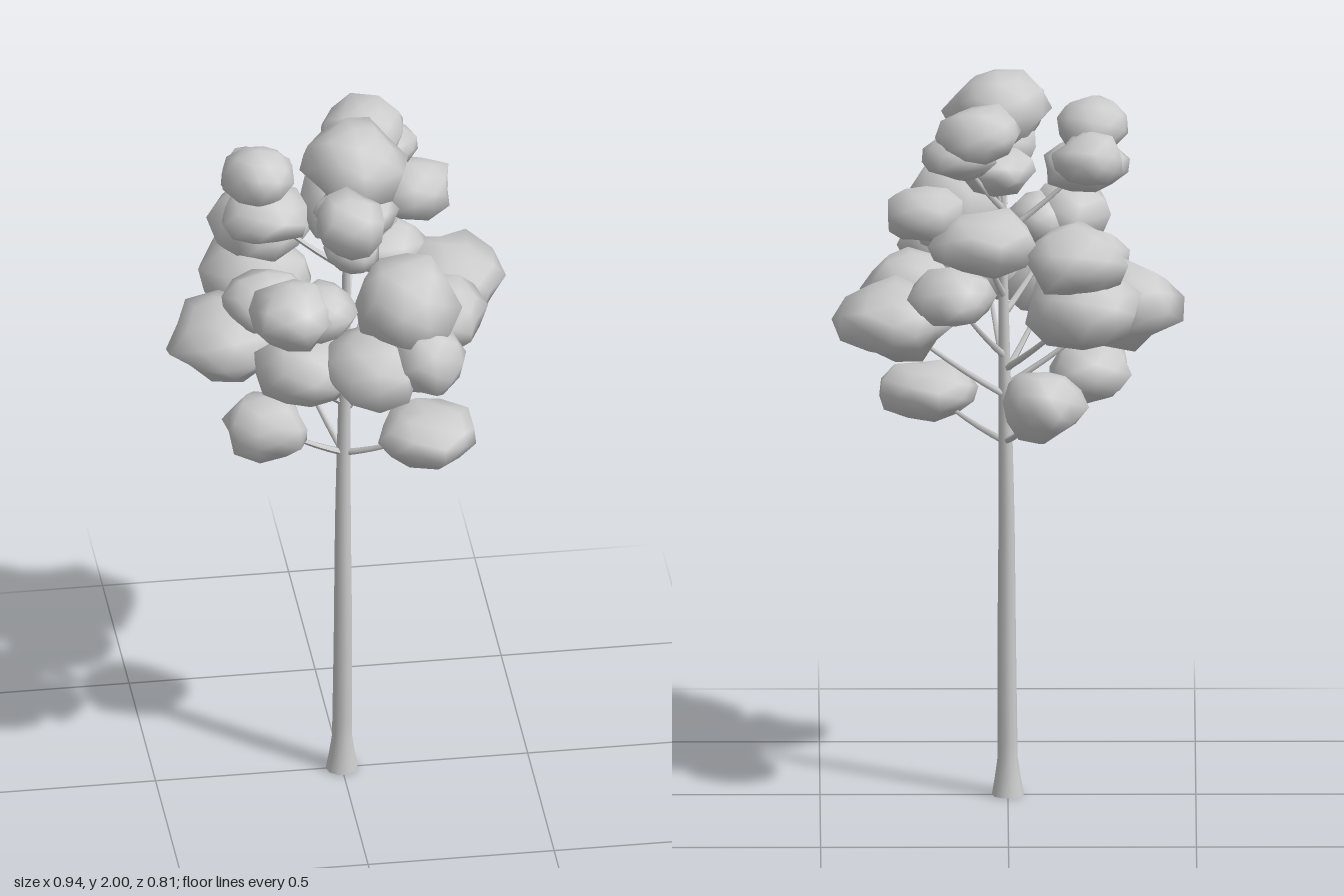
import * as THREE from 'three';
import { mergeVertices } from 'three/addons/utils/BufferGeometryUtils.js';

const material = new THREE.MeshStandardMaterial({ color: 0xcccccc });

// Small seeded generator for the irregular leaf clumps
function seeded(seed) {
  let s = seed * 7919 + 17;
  return () => {
    s = (s * 16807) % 2147483647;
    return s / 2147483647;
  };
}

// Leaf clumps; each is a list of overlapping lobes [x, y, z, radius, half height]
const CLUMPS = [
  // lowest tier
  [[-0.22, 1.145, 0.09, 0.11, 0.085]],
  [[0.21, 1.09, 0.11, 0.132, 0.07]],
  [[-0.1, 1.15, -0.275, 0.115, 0.1]],
  // broad middle tier
  [[-0.305, 1.37, 0.0, 0.165, 0.12], [-0.21, 1.48, 0.01, 0.115, 0.09]],
  [[0.3, 1.37, -0.2, 0.17, 0.11], [0.255, 1.4, 0.02, 0.14, 0.1]],
  [
    [0.06, 1.4, 0.26, 0.14, 0.1],
    [0.19, 1.44, 0.295, 0.105, 0.1],
    [0.15, 1.56, 0.22, 0.14, 0.13],
  ],
  [[-0.12, 1.37, 0.2, 0.135, 0.09]],
  [[-0.2, 1.42, -0.24, 0.155, 0.12], [-0.18, 1.56, -0.27, 0.14, 0.1]],
  [[0.15, 1.46, -0.28, 0.12, 0.08]],
  // upper middle tier
  [[-0.16, 1.55, 0.21, 0.115, 0.1], [-0.08, 1.54, 0.18, 0.1, 0.08]],
  [[0.07, 1.6, -0.245, 0.145, 0.085], [0.22, 1.67, -0.2, 0.1, 0.075]],
  // crown
  [[0.0, 1.74, 0.2, 0.075, 0.06], [-0.01, 1.83, 0.23, 0.09, 0.085]],
  [
    [-0.21, 1.75, 0.0, 0.115, 0.075],
    [-0.225, 1.86, -0.01, 0.095, 0.08],
    [-0.21, 1.8, -0.12, 0.095, 0.07],
  ],
  [[0.04, 1.735, 0.0, 0.115, 0.06]],
  [[0.13, 1.82, -0.17, 0.1, 0.065]],
  [[0.03, 1.89, 0.02, 0.148, 0.11], [0.08, 1.88, -0.17, 0.115, 0.07]],
];

// A coarse, smooth-shaded lump fitted to the given radius and half height
function lobeGeometry(radius, height, seed) {
  const rand = seeded(seed);
  let geo = new THREE.IcosahedronGeometry(1, 1);
  geo.deleteAttribute('normal');
  geo.deleteAttribute('uv');
  geo = mergeVertices(geo, 1e-3);
  geo.rotateY(rand() * Math.PI);
  const p = geo.attributes.position;
  for (let i = 0; i < p.count; i++) {
    const k = 0.84 + 0.3 * rand();
    p.setXYZ(i, p.getX(i) * k, p.getY(i) * k, p.getZ(i) * k);
  }
  geo.center();
  const half = geo.boundingBox.getSize(new THREE.Vector3()).multiplyScalar(0.5);
  geo.scale(radius / half.x, height / half.y, radius / half.z);
  geo.computeVertexNormals();
  return geo;
}

// A tube whose radius follows radiusAt(t)
function taperedTube(curve, segments, sides, radiusAt) {
  const geo = new THREE.TubeGeometry(curve, segments, 1, sides);
  const p = geo.attributes.position;
  const v = new THREE.Vector3();
  for (let i = 0; i <= segments; i++) {
    const c = curve.getPointAt(i / segments);
    for (let j = 0; j <= sides; j++) {
      const n = i * (sides + 1) + j;
      v.fromBufferAttribute(p, n).sub(c).multiplyScalar(radiusAt(i / segments)).add(c);
      p.setXYZ(n, v.x, v.y, v.z);
    }
  }
  geo.computeVertexNormals();
  return geo;
}

export function createModel() {
  const group = new THREE.Group();
  const add = (name, geo, parent = group) => {
    const mesh = new THREE.Mesh(geo, material);
    mesh.name = name;
    parent.add(mesh);
    return mesh;
  };

  // Gently bending trunk with a flared foot
  const trunkCurve = new THREE.CatmullRomCurve3([
    [0, 0, 0], [0.003, 0.4, 0.003], [0.004, 0.8, -0.002], [0.008, 1.1, -0.006],
    [0.012, 1.4, -0.004], [0.014, 1.65, 0], [0.02, 1.86, 0.01],
  ].map((a) => new THREE.Vector3(...a)));
  const trunkRadius = (t) =>
    0.027 * (1 - 0.8 * Math.pow(t, 1.5)) + 0.016 * Math.max(0, 1 - t / 0.05);
  add('trunk', taperedTube(trunkCurve, 36, 10, trunkRadius));
  const foot = add('trunkFoot', new THREE.CircleGeometry(0.043, 10));
  foot.rotation.x = Math.PI / 2;

  // Leaf clumps, each carried by a thin branch rising from the trunk
  const branches = new THREE.Group();
  branches.name = 'branches';
  const foliage = new THREE.Group();
  foliage.name = 'foliage';
  group.add(branches, foliage);
  CLUMPS.forEach((lobes, i) => {
    const clump = new THREE.Group();
    clump.name = 'leafClump';
    foliage.add(clump);
    lobes.forEach(([x, y, z, radius, height], j) => {
      add('leafLobe', lobeGeometry(radius, height, i * 3 + j + 1), clump).position.set(x, y, z);
    });

    const end = new THREE.Vector3(...lobes[0].slice(0, 3));
    const reach = Math.hypot(end.x, end.z);
    const startY = Math.max(0.98, end.y - 0.1 - 0.45 * reach);
    const start = trunkCurve.getPointAt(startY / 1.86);
    const bend = start.clone().lerp(end, 0.5);
    bend.y -= 0.02;
    const curve = new THREE.QuadraticBezierCurve3(start, bend, end);
    add('branch', taperedTube(curve, 6, 5, (t) => 0.01 - 0.006 * t), branches);
  });
  return group;
}
